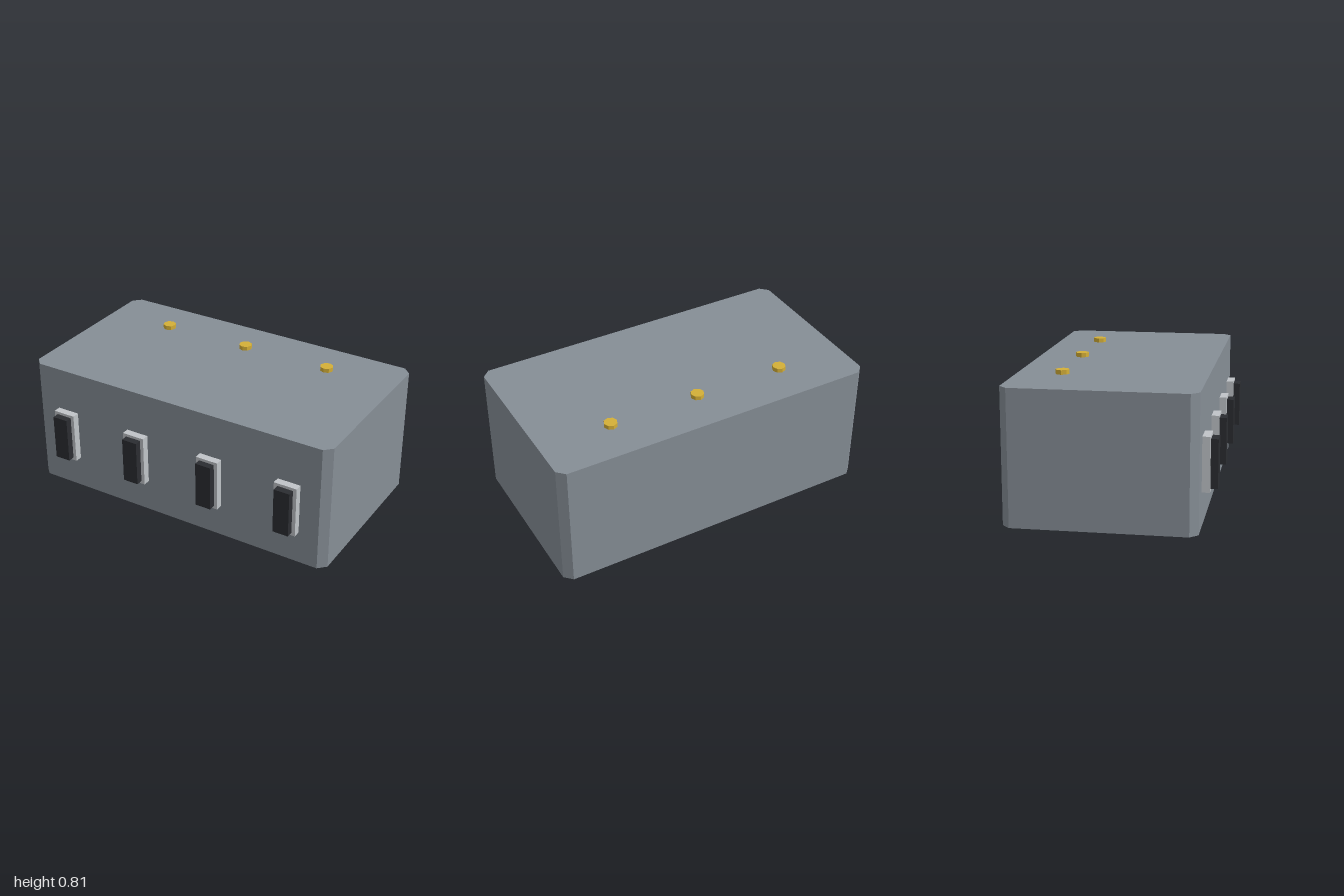
import * as THREE from 'three';

const paint = (color) => new THREE.MeshStandardMaterial({ color, flatShading: true });

export function createModel() {
  const model = new THREE.Group();
  model.name = 'switchBox';

  const bodyPaint = paint(0x868e96);
  const framePaint = paint(0xc0c4c8);
  const darkPaint = paint(0x2b2d31);
  const brass = paint(0xd4af37);

  const add = (name, geometry, material, x, y, z) => {
    const mesh = new THREE.Mesh(geometry, material);
    mesh.name = name;
    mesh.position.set(x, y, z);
    model.add(mesh);
    return mesh;
  };

  // Housing: rectangle with chamfered vertical corners, extruded upwards
  const height = 0.785, front = 0.5, back = -0.587, chamfer = 0.046;
  const w = 1, d = (front - back) / 2, c = chamfer;
  const outline = new THREE.Shape([
    [w - c, -d], [w, c - d], [w, d - c], [w - c, d],
    [c - w, d], [-w, d - c], [-w, c - d], [c - w, -d],
  ].map(([x, y]) => new THREE.Vector2(x, y)));
  const housing = new THREE.ExtrudeGeometry(outline, { depth: height, bevelEnabled: false });
  housing.rotateX(-Math.PI / 2);
  add('housing', housing, bodyPaint, 0, 0, (front + back) / 2);

  // Four framed switches along the front
  const frame = new THREE.BoxGeometry(0.142, 0.314, 0.045);
  const rocker = new THREE.BoxGeometry(0.098, 0.28, 0.042);
  for (const x of [-0.76, -0.253, 0.253, 0.76]) {
    add('switchFrame', frame, framePaint, x, 0.36, front + 0.0225);
    add('switchRocker', rocker, darkPaint, x, 0.36, front + 0.066);
  }

  // Three brass studs on top
  const stud = new THREE.CylinderGeometry(0.04, 0.04, 0.026, 8);
  for (const x of [-0.56, 0, 0.56]) {
    add('topStud', stud, brass, x, height + 0.013, -0.327);
  }

  return model;
}
